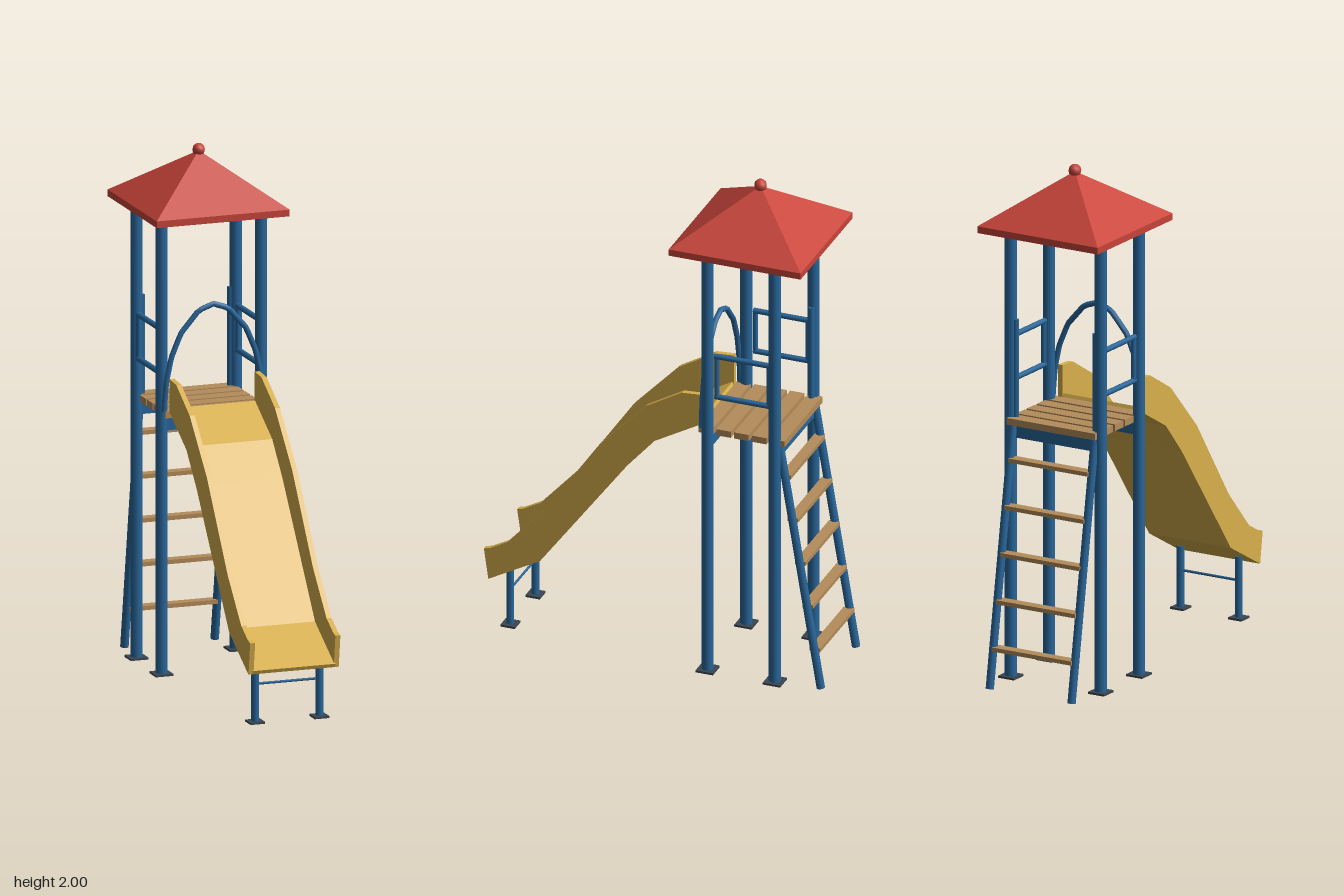
import * as THREE from 'three';

const mat = (name, color) => {
  const m = new THREE.MeshStandardMaterial({ color });
  m.name = name;
  return m;
};

export function createModel() {
  const blue = mat('blue paint', 0x28669a);
  const red = mat('red roof', 0xc8443a);
  const yellow = mat('yellow plastic', 0xd8b04c);
  const wood = mat('wood', 0xb48c5a);
  const dark = mat('dark plate', 0x3c4650);

  const model = new THREE.Group();
  model.name = 'playgroundTower';
  const add = (name, geo, material, x = 0, y = 0, z = 0) => {
    const m = new THREE.Mesh(geo, material);
    m.name = name;
    m.position.set(x, y, z);
    model.add(m);
    return m;
  };
  const box = (name, material, w, h, d, x, y, z) =>
    add(name, new THREE.BoxGeometry(w, h, d), material, x, y, z);
  // Round bar between two points
  const bar = (name, a, b, r, sides = 10) => {
    const p = new THREE.Vector3(...a), q = new THREE.Vector3(...b);
    const dir = q.clone().sub(p);
    const m = add(name, new THREE.CylinderGeometry(r, r, dir.length(), sides), blue);
    m.position.copy(p).add(q).multiplyScalar(0.5);
    m.quaternion.setFromUnitVectors(new THREE.Vector3(0, 1, 0), dir.normalize());
    return m;
  };

  const px = 0.198, zf = -0.22, zb = -0.49, zc = -0.355;

  // Tower posts with foot plates
  for (const s of [-1, 1]) {
    for (const z of [zf, zb]) {
      bar('post', [s * px, 0, z], [s * px, 1.755, z], 0.023, 12);
      box('footPlate', dark, 0.07, 0.008, 0.07, s * px, 0.004, z);
    }
    // Top frame along the sides
    bar('topSideBeam', [s * px, 1.738, zf], [s * px, 1.738, zb], 0.016);
    // Side guard: two rails and two uprights
    for (const y of [1.16, 1.33]) bar('guardRail', [s * px, y, -0.25], [s * px, y, -0.47], 0.011, 8);
    for (const z of [-0.257, -0.467]) bar('guardUpright', [s * px, 1.16, z], [s * px, 1.33, z], 0.01, 8);
    // Ladder grips
    bar('ladderGrip', [s * 0.175, 0.98, zb], [s * 0.175, 1.4, zb], 0.012, 8);
  }
  for (const z of [zf, zb]) {
    bar('topCrossBeam', [-px, 1.738, z], [px, 1.738, z], 0.016);
    box('platformBeam', blue, 0.4, 0.05, 0.03, 0, 0.968, z);
  }

  // Platform slats
  for (let i = -2; i <= 2; i++) {
    box('platformSlat', wood, 0.39, 0.026, 0.058, 0, 1.008, zc + i * 0.0715);
  }

  // Roof: slab, pyramid and finial
  const half = 0.265;
  box('roofEdge', red, half * 2, 0.026, half * 2, 0, 1.769, zc);
  const pyramid = new THREE.ConeGeometry(half * Math.SQRT2, 0.19, 4, 1).toNonIndexed();
  pyramid.rotateY(Math.PI / 4);
  pyramid.computeVertexNormals();
  add('roof', pyramid, red, 0, 1.782 + 0.095, zc);
  add('roofFinial', new THREE.SphereGeometry(0.025, 8, 6), red, 0, 1.975, zc);

  // Arch over the slide entrance
  const half1 = [[0.197, 1.02], [0.188, 1.13], [0.168, 1.225], [0.13, 1.315], [0.058, 1.398]];
  const arch = [
    ...half1.map(([x, y]) => [-x, y]), [0, 1.418],
    ...half1.slice().reverse(),
  ].map(([x, y]) => new THREE.Vector3(x, y, -0.195));
  const archPath = new THREE.CurvePath();
  for (let i = 1; i < arch.length; i++) archPath.add(new THREE.LineCurve3(arch[i - 1], arch[i]));
  add('entranceArch', new THREE.TubeGeometry(archPath, 40, 0.011, 8), blue);

  // Slide: side walls and bed extruded across x from (z, y) profiles
  const across = (points, width) => {
    const shape = new THREE.Shape(points.map(([z, y]) => new THREE.Vector2(z, y)));
    return new THREE.ExtrudeGeometry(shape, { depth: width, bevelEnabled: false })
      .translate(0, 0, -width / 2).rotateY(-Math.PI / 2);
  };
  const lower = [[-0.185, 1.02], [0, 0.915], [0.11, 0.79], [0.46, 0.32], [0.668, 0.205]];
  const upper = [[0.686, 0.33], [0.66, 0.337], [0.59, 0.375], [0.445, 0.535], [0.22, 0.86],
    [0.035, 1.055], [-0.11, 1.14], [-0.185, 1.145]];
  for (const s of [-1, 1]) add('slideWall', across([...lower, ...upper], 0.02), yellow, s * 0.17);
  const bedTop = lower.map(([z, y]) => [z + 0.006, y + 0.014]).reverse();
  add('slideBed', across([...lower, ...bedTop], 0.33), yellow);

  // Slide support
  for (const s of [-1, 1]) {
    bar('slideLeg', [s * 0.128, 0, 0.6], [s * 0.128, 0.245, 0.6], 0.015);
    box('slideFootPlate', dark, 0.058, 0.008, 0.058, s * 0.128, 0.004, 0.6);
  }
  bar('slideLegBrace', [-0.128, 0.15, 0.6], [0.128, 0.15, 0.6], 0.005, 6);

  // Ladder: leaning rails and flat rungs
  const ladderZ = (y) => -0.668 + 0.166 * y;
  for (const s of [-1, 1]) {
    bar('ladderRail', [s * 0.18, 0.002, ladderZ(0)], [s * 0.18, 1.01, ladderZ(1.01)], 0.016);
  }
  for (let i = 0; i < 5; i++) {
    const y = 0.155 + i * 0.177;
    box('ladderRung', wood, 0.35, 0.016, 0.042, 0, y, ladderZ(y));
  }

  return model;
}
